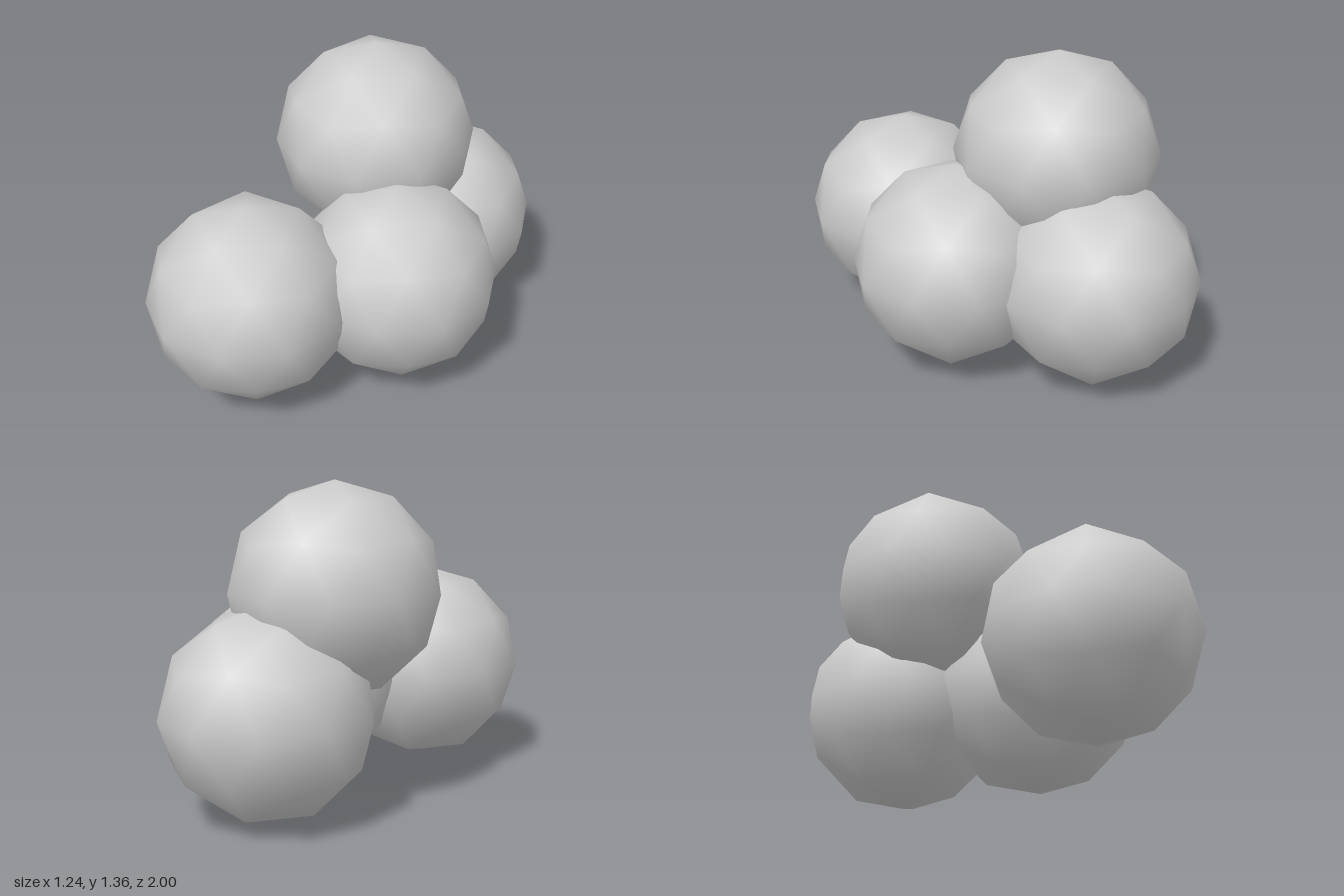
import * as THREE from 'three';

export function createModel() {
  const model = new THREE.Group();
  model.name = 'ballCluster';
  const material = new THREE.MeshStandardMaterial({ color: 0xcccccc });

  // Coarse smooth ball, tilted so that a corner of the icosahedron points straight up
  const ball = new THREE.IcosahedronGeometry(0.445, 1);
  ball.rotateZ(-Math.atan(2 / (1 + Math.sqrt(5))));

  // Three balls on the ground and one resting on top
  const centres = {
    frontBall: [-0.1, 0.474, 0.555],
    sideBall: [0.195, 0.468, -0.018],
    backBall: [-0.09, 0.446, -0.555],
    topBall: [-0.197, 0.92, -0.255],
  };
  for (const [name, centre] of Object.entries(centres)) {
    const mesh = new THREE.Mesh(ball, material);
    mesh.name = name;
    mesh.position.set(...centre);
    model.add(mesh);
  }
  return model;
}
